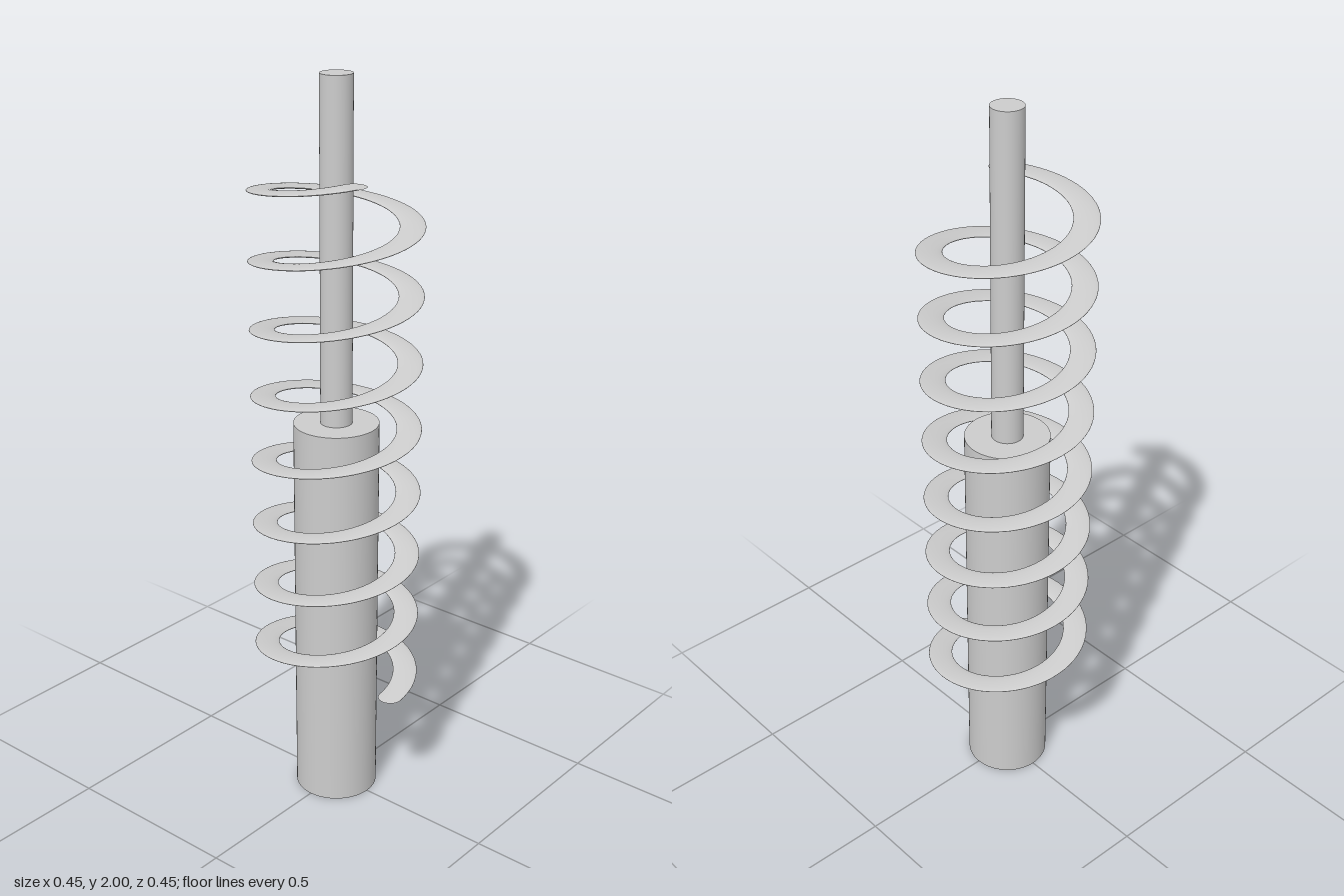
import * as THREE from 'three';
import { ParametricGeometry } from 'three/addons/geometries/ParametricGeometry.js';

const BODY_R = 0.113, BODY_TOP = 1.097, ROD_R = 0.042, TOP = 2;
const COIL_R = 0.191, WIRE_R = 0.033, COIL_BASE = 0.337, PITCH = 0.181, TURNS = 7.895;

// Centre of the coil at a fraction t of its length
function coilPoint(t, target) {
  const a = t * TURNS * Math.PI * 2;
  return target.set(COIL_R * Math.cos(a), COIL_BASE + PITCH * TURNS * t, -COIL_R * Math.sin(a));
}

export function createModel() {
  const group = new THREE.Group();
  const grey = new THREE.MeshStandardMaterial({ color: 0xcccccc });
  grey.name = 'grey';

  const add = (name, geometry, parent = group) => {
    const mesh = new THREE.Mesh(geometry, grey);
    mesh.name = name;
    parent.add(mesh);
    return mesh;
  };

  // Damper body and the thinner piston rod above it
  const cylinder = (name, r, y0, y1) => {
    add(name, new THREE.CylinderGeometry(r, r, y1 - y0, 64)).position.y = (y0 + y1) / 2;
  };
  cylinder('damperBody', BODY_R, 0, BODY_TOP);
  cylinder('pistonRod', ROD_R, BODY_TOP, TOP);

  // Spring: a level disc swept up a helix, which gives a flat, ribbon-like coil
  const spring = new THREE.Group();
  spring.name = 'spring';
  group.add(spring);
  add('springCoil', new ParametricGeometry((u, v, target) => {
    coilPoint(u, target);
    const phi = v * Math.PI * 2;
    target.x += WIRE_R * Math.cos(phi);
    target.z += WIRE_R * Math.sin(phi);
  }, 480, 32), spring);

  // Level discs close both ends of the coil
  for (const [name, t, tilt] of [['springBottomEnd', 0, 1], ['springTopEnd', 1, -1]]) {
    const cap = add(name, new THREE.CircleGeometry(WIRE_R, 32), spring);
    cap.rotation.x = tilt * Math.PI / 2;
    coilPoint(t, cap.position);
  }

  return group;
}
